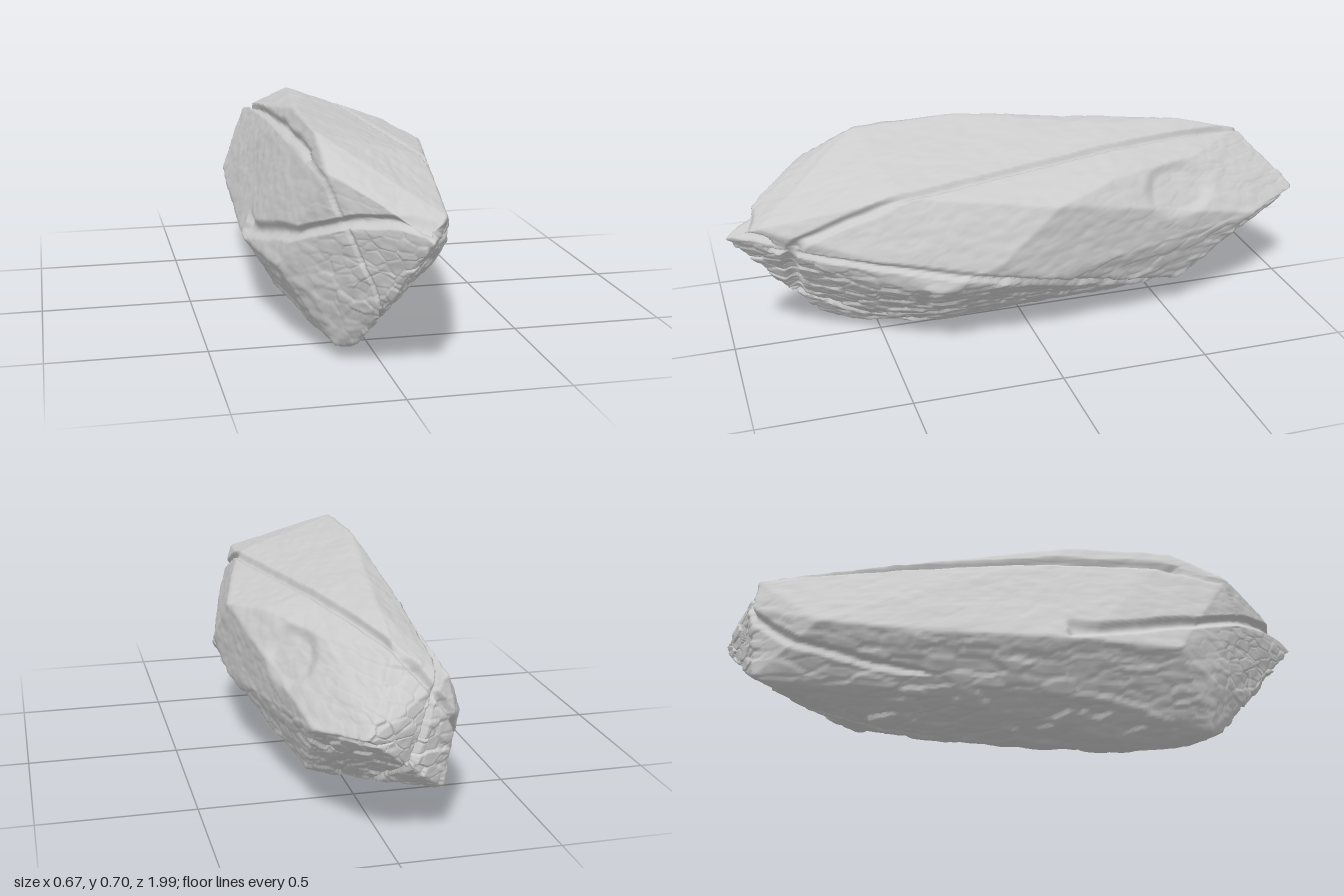
import * as THREE from 'three';
import { ConvexGeometry } from 'three/addons/geometries/ConvexGeometry.js';
import { mergeVertices } from 'three/addons/utils/BufferGeometryUtils.js';

const V = (x, y, z) => new THREE.Vector3(x, y, z);

// Corners of the broad facets
const corners = [
  // front end
  V(.075, .45, 1), V(.14, .5, .9), V(0, .2, .78), V(-.05, .54, .86), V(-.17, .6, .72),
  V(-.16, .44, .74), V(-.19, .2, .65), V(-.07, .07, .7), V(-.29, .27, .52),
  // top
  V(-.17, .7, .2), V(-.172, .69, .53), V(.2, .575, .45), V(-.17, .625, -.2), V(-.04, .655, -.3),
  V(-.05, .635, -.6), V(-.17, .57, -.6), V(.12, .56, -.6),
  // left side
  V(.32, .53, -.05), V(.335, .36, .15), V(.31, .27, .35), V(.315, .27, 0), V(.26, .38, .52),
  V(.25, .28, .5), V(.23, .565, -.27), V(.22, .39, -.62), V(.2, .35, -.8), V(.165, .12, -.54),
  // back end
  V(.09, .38, -1), V(-.03, .58, -.82), V(-.18, .51, -.87), V(-.2, .4, -.88), V(-.17, .16, -.87),
  // right side
  V(-.34, .27, .2), V(-.295, .32, -.66), V(-.315, .28, -.3),
  // underside
  V(-.06, -.005, .4), V(-.06, .01, .58), V(-.13, .04, .65), V(-.14, .035, .2), V(-.24, .115, .2),
  V(-.02, .01, 0), V(.06, .035, .3), V(-.03, .045, -.38), V(-.2, .14, -.5),
];

// Repeatable hash in 0..1 for a lattice cell
function hash(i, j, k, s) {
  const h = Math.sin(i * 127.1 + j * 311.7 + k * 74.7 + s * 53.3) * 43758.5453;
  return h - Math.floor(h);
}

// Smooth lattice noise, -1..1
function noise(x, y, z) {
  const i = Math.floor(x), j = Math.floor(y), k = Math.floor(z);
  const f = t => t * t * (3 - 2 * t);
  const u = f(x - i), v = f(y - j), w = f(z - k);
  let sum = 0;
  for (let c = 0; c < 8; c++) {
    const a = c & 1, b = (c >> 1) & 1, d = c >> 2;
    sum += hash(i + a, j + b, k + d, 0) * (a ? u : 1 - u) * (b ? v : 1 - v) * (d ? w : 1 - w);
  }
  return sum * 2 - 1;
}

// Chipped plates: a level for each cell, with thin seams between cells
function plates(x, y, z) {
  const i = Math.floor(x), j = Math.floor(y), k = Math.floor(z);
  let near = 9, next = 9, level = 0;
  for (let a = i - 1; a <= i + 1; a++) for (let b = j - 1; b <= j + 1; b++) for (let c = k - 1; c <= k + 1; c++) {
    const d = Math.hypot(a + hash(a, b, c, 1) - x, b + hash(a, b, c, 2) - y, c + hash(a, b, c, 3) - z);
    if (d < near) { next = near; near = d; level = hash(a, b, c, 4); } else if (d < next) next = d;
  }
  return { level, seam: Math.max(0, 1 - (next - near) * 6) };
}

// Cracks cut by flat sheets through the stone, each with a limit on its reach
const sheet = (a, b, c) => new THREE.Plane().setFromCoplanarPoints(a, b, c);
const lengthwise = sheet(V(-.18, .585, 0), V(.04, .04, 0), V(.04, .04, 1));
const cracks = [
  { plane: lengthwise, width: .012, depth: .024, reach: p => p.z < .55 || p.y < .2 },
  { plane: lengthwise, width: .006, depth: .008, reach: p => p.z >= .55 },
  { plane: sheet(V(-.03, .6, -.85), V(.2, .57, .45), V(0, .2, .77)), width: .016, depth: .02, reach: p => p.y > .17 },
  { plane: sheet(V(.17, .43, .9), V(.32, .3, .2), V(.14, .1, -.5)), width: .012, depth: .018, reach: p => p.x > .12 && p.z > -.6 },
];

// Total depth of cracks and the hollow at a point
function carve(p) {
  const wobble = noise(p.x * 14, p.y * 14, p.z * 8) * .005;
  let depth = 0;
  const groove = (dist, width, deep) => {
    depth = Math.max(depth, deep * Math.max(0, 1 - (dist / width) ** 2));
  };
  for (const c of cracks) {
    if (c.reach(p)) groove(Math.abs(c.plane.distanceToPoint(p) + wobble), c.width, c.depth);
  }
  // Arched crack over the front face
  if (p.z > .15 && p.x < .14) groove(Math.abs(p.y - .49 + 1.7 * p.x * p.x + wobble), .02, .024);
  // Chipped hollow near the back of the left side
  const h = Math.hypot((p.x - .2) / .12, (p.y - .48) / .1, (p.z + .5) / .16);
  return depth + .016 * THREE.MathUtils.smoothstep(1 - h, 0, .4);
}

function buildStone() {
  // Facet planes of the blocked-out form
  const block = new ConvexGeometry(corners).attributes.position;
  const facets = [];
  for (let i = 0; i < block.count; i += 3) {
    const [a, b, c] = [0, 1, 2].map(k => V().fromBufferAttribute(block, i + k));
    const plane = sheet(a, b, c);
    if (plane.normal.lengthSq() > .5) facets.push(plane);
  }

  // Fine skin with its poles at the two ends, cast onto the facets
  let skin = new THREE.SphereGeometry(1, 250, 270).rotateX(Math.PI / 2);
  skin.deleteAttribute('uv');
  skin.deleteAttribute('normal');
  skin = mergeVertices(skin, 1e-5);
  const centre = V(0, .36, 0), pos = skin.attributes.position, dir = V(), p = V(), n = V();
  for (let i = 0; i < pos.count; i++) {
    dir.fromBufferAttribute(pos, i).multiply(V(.31, .34, 1));
    let reach = Infinity;
    const hits = [];
    for (const f of facets) {
      const slope = f.normal.dot(dir);
      if (slope <= 1e-6) continue;
      const t = -f.distanceToPoint(centre) / slope;
      hits.push([t, f.normal]);
      reach = Math.min(reach, t);
    }
    p.copy(centre).addScaledVector(dir, reach);

    // Direction of wear, blended across facet edges
    n.set(0, 0, 0);
    for (const [t, normal] of hits) {
      if (t < reach + .12) n.addScaledVector(normal, Math.exp((reach - t) / .02));
    }
    n.normalize();

    // Rougher layers beneath and at the back end, weathered ripples elsewhere
    const rough = Math.min(1, Math.max(0, -n.y) + Math.max(0, -n.z - .3) + .1);
    const cell = plates(p.x * 20, p.y * 28, p.z * 9);
    const relief = noise(p.x * 40, p.y * 40, p.z * 26) * .002
      + noise(p.x * 9, p.y * 9, p.z * 6) * .003
      + (cell.level - .5) * .013 * rough - cell.seam * (.001 + .003 * rough);
    p.addScaledVector(n, relief - carve(p));
    p.y = Math.max(0, p.y);
    pos.setXYZ(i, p.x, p.y, p.z);
  }
  skin.computeVertexNormals();
  return skin;
}

export function createModel() {
  const group = new THREE.Group();
  group.name = 'rock';
  const stone = new THREE.Mesh(buildStone(), new THREE.MeshStandardMaterial({ color: 0xcccccc }));
  stone.name = 'crackedStone';
  group.add(stone);
  return group;
}
